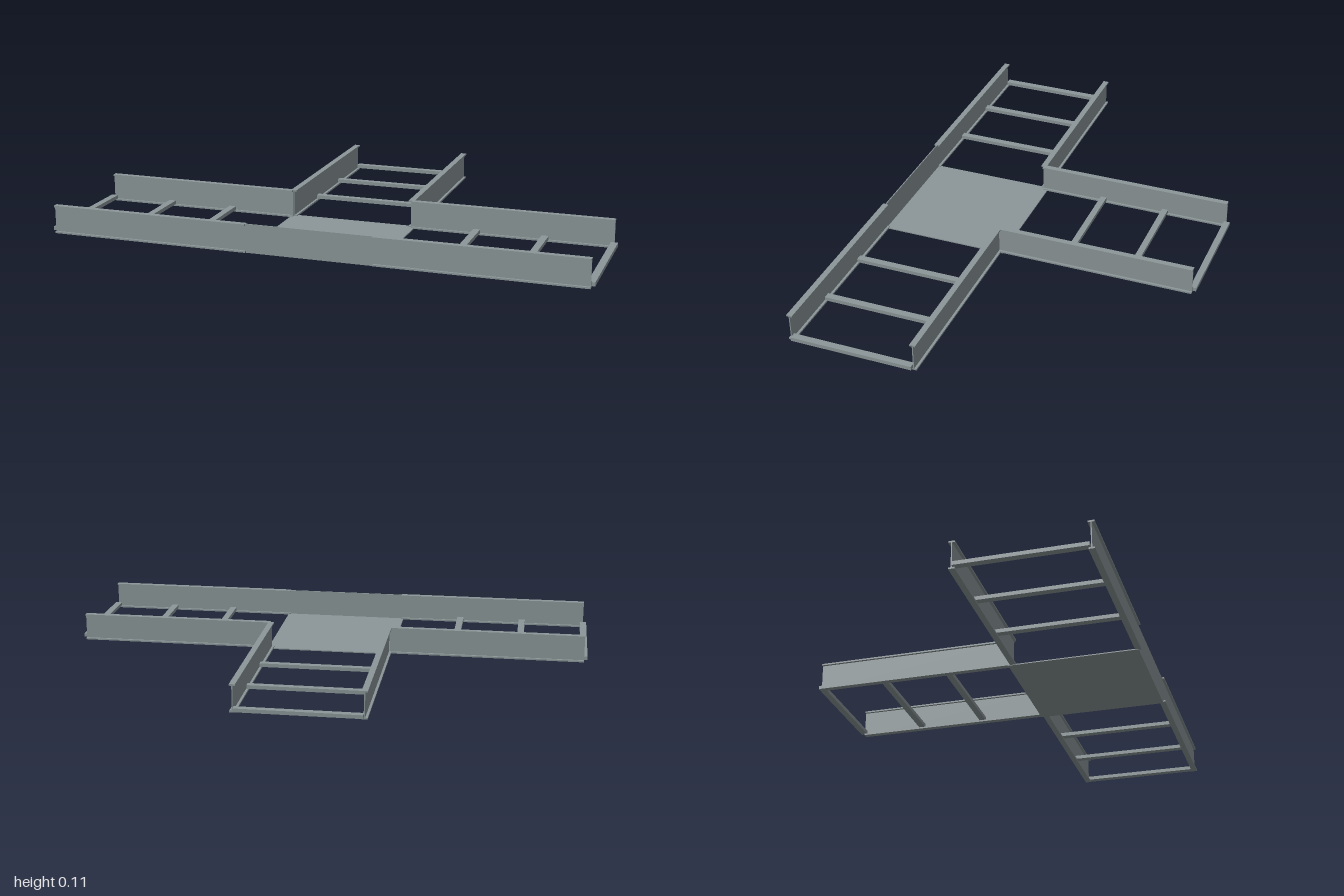
import * as THREE from 'three';

const steel = new THREE.MeshStandardMaterial({ color: 0x8c9799 });

// box given by its min and max corners
function box(name, x0, x1, y0, y1, z0, z1) {
  const mesh = new THREE.Mesh(new THREE.BoxGeometry(x1 - x0, y1 - y0, z1 - z0), steel);
  mesh.position.set((x0 + x1) / 2, (y0 + y1) / 2, (z0 + z1) / 2);
  mesh.name = name;
  return mesh;
}

const HEIGHT = 0.106, FLANGE = 0.006, HALF_FLANGE = 0.011, HALF_WEB = 0.002;

// I-section side rail along x, from x0 to x1
function rail(name, x0, x1) {
  const g = new THREE.Group();
  g.name = name;
  g.add(
    box('web', x0, x1, 0.002, HEIGHT - 0.001, -HALF_WEB, HALF_WEB),
    box('topFlange', x0, x1, HEIGHT - FLANGE, HEIGHT, -HALF_FLANGE, HALF_FLANGE),
    box('bottomFlange', x0, x1, 0.002, 0.002 + FLANGE, -HALF_FLANGE, HALF_FLANGE)
  );
  return g;
}

export function createModel() {
  const model = new THREE.Group();
  model.name = 'trayTee';

  // centre: floor plate and plain front wall
  model.add(box('floorPlate', -0.243, 0.243, 0, 0.004, 0.128, 0.61));
  model.add(box('centreFrontWall', -0.236, 0.236, 0, HEIGHT, 0.608, 0.612));

  for (const s of [-1, 1]) {
    const side = s > 0 ? 'left' : 'right';

    // side arm rails, front and back
    for (const [name, z] of [['FrontRail', 0.61], ['BackRail', 0.146]]) {
      const r = rail(side + name, s > 0 ? 0.235 : -0.985, s > 0 ? 0.985 : -0.235);
      r.position.z = z;
      model.add(r);
    }

    // side arm rungs
    for (const x of [0.985, 0.735, 0.482]) {
      const rung = box(side + 'Rung', -0.013, 0.013, 0.008, 0.022, 0.15, 0.606);
      rung.position.x = s * x;
      model.add(rung);
    }

    // rear branch rail
    const branch = rail(side + 'BranchRail', -0.146, 0.606);
    branch.rotation.y = Math.PI / 2;
    branch.position.x = s * 0.232;
    model.add(branch);
  }

  // rear branch rungs
  for (const z of [-0.608, -0.36, -0.108]) {
    model.add(box('branchRung', -0.229, 0.229, 0.008, 0.022, z - 0.012, z + 0.012));
  }
  return model;
}
